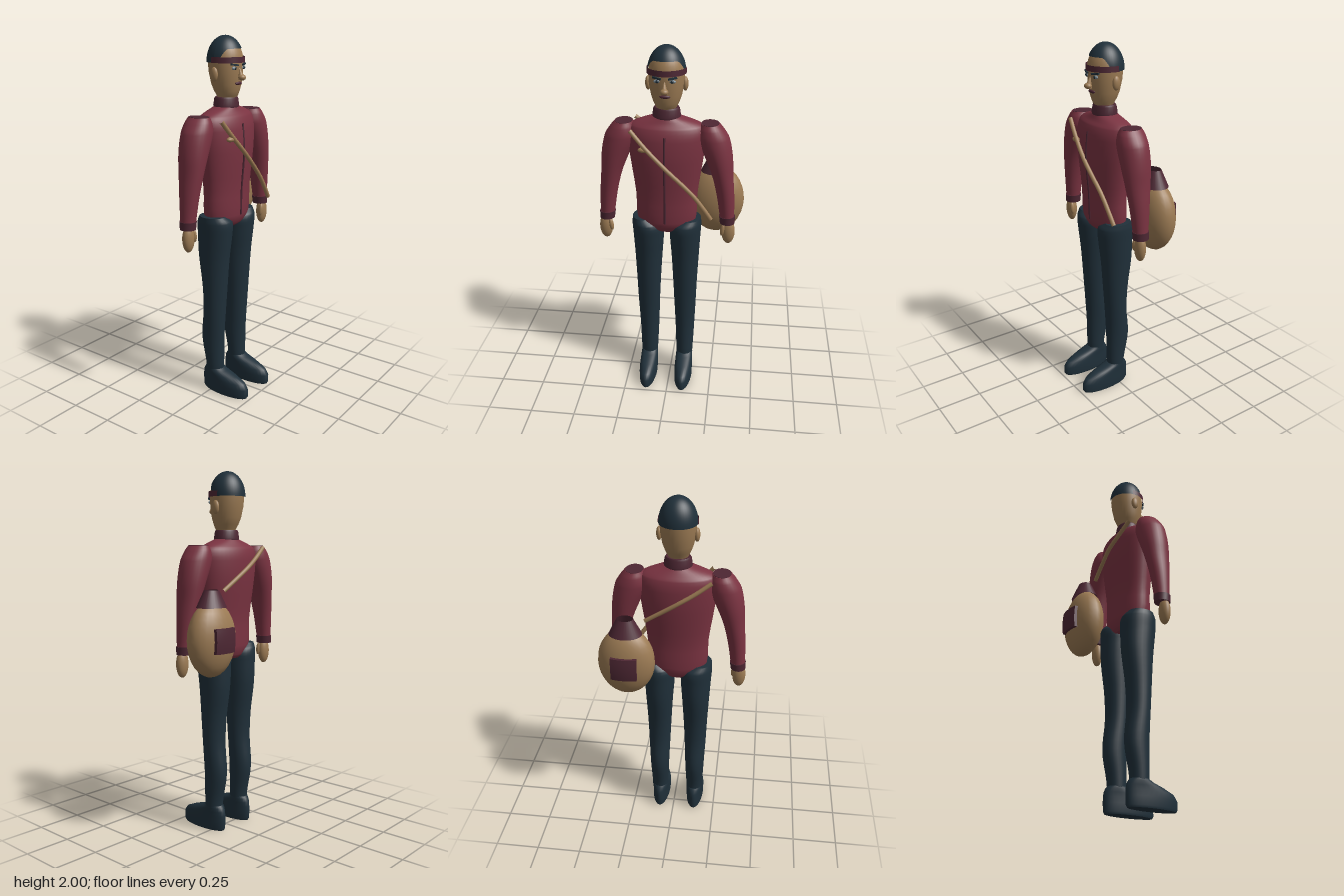
import * as THREE from 'three';

const mat = (name, color, side = THREE.FrontSide) => {
  const m = new THREE.MeshStandardMaterial({ color, side });
  m.name = name;
  return m;
};

// Stack of horizontal ellipses, bottom to top: [y, centreX, centreZ, halfX, halfZ]
function loft(rings, sides = 28) {
  const pos = [], idx = [];
  const addRing = ([y, cx, cz, hx, hz]) => {
    for (let j = 0; j < sides; j++) {
      const a = (j / sides) * Math.PI * 2;
      pos.push(cx + Math.cos(a) * hx, y, cz + Math.sin(a) * hz);
    }
  };
  rings.forEach(addRing);
  for (let i = 0; i < rings.length - 1; i++) {
    for (let j = 0; j < sides; j++) {
      const k = (j + 1) % sides, a = i * sides, b = a + sides;
      idx.push(a + j, b + j, a + k, a + k, b + j, b + k);
    }
  }
  // end caps with their own vertices, so the rims stay sharp
  [rings[0], rings[rings.length - 1]].forEach((r, top) => {
    const s = pos.length / 3;
    addRing(r);
    pos.push(r[1], r[0], r[2]);
    for (let j = 0; j < sides; j++) {
      const k = (j + 1) % sides;
      idx.push(s + sides, s + (top ? k : j), s + (top ? j : k));
    }
  });
  const g = new THREE.BufferGeometry();
  g.setAttribute('position', new THREE.Float32BufferAttribute(pos, 3));
  g.setIndex(idx);
  g.computeVertexNormals();
  return g;
}

// Smoothly adds rings between the given ones
function smoothRings(rings, steps = 4) {
  const out = [], n = rings.length;
  for (let i = 0; i < n - 1; i++) {
    const [p, a, b, q] = [rings[Math.max(i - 1, 0)], rings[i], rings[i + 1], rings[Math.min(i + 2, n - 1)]];
    for (let s = 0; s < steps; s++) {
      const t = s / steps, h = t * t * (3 - 2 * t);
      out.push(a.map((v, k) => {
        if (k === 0) return v + (b[0] - v) * t;
        const dy = b[0] - a[0];
        const ma = ((b[k] - p[k]) / (b[0] - p[0])) * dy, mb = ((q[k] - v) / (q[0] - a[0])) * dy;
        return v + (b[k] - v) * h + ma * t * (1 - t) * (1 - t) - mb * t * t * (1 - t);
      }));
    }
  }
  out.push(rings[n - 1]);
  return out;
}

export function createModel() {
  const jacket = mat('jacket red', 0x7a3341);
  const trim = mat('dark maroon', 0x4d2733, THREE.DoubleSide);
  const navy = mat('dark blue', 0x20303a);
  const skin = mat('tan', 0x9c7b54);
  const eyeGrey = mat('eye grey', 0x7d8b93);

  const model = new THREE.Group();
  const body = new THREE.Group();
  body.name = 'body';
  body.position.x = -0.02;
  model.add(body);
  const add = (name, geo, m, parent = body) => {
    const mesh = new THREE.Mesh(geo, m);
    mesh.name = name;
    parent.add(mesh);
    return mesh;
  };
  const ball = (name, m, [x, y, z], [rx, ry, rz], parent = body) => {
    const b = add(name, new THREE.SphereGeometry(1, 24, 16), m, parent);
    b.position.set(x, y, z);
    b.scale.set(rx, ry, rz);
    return b;
  };

  // Jacket
  add('torso', loft(smoothRings([
    [0.98, 0, 0.005, 0.08, 0.06], [1.0, 0, 0.01, 0.125, 0.08], [1.05, 0, 0.013, 0.162, 0.095],
    [1.2, 0, 0.015, 0.168, 0.097], [1.4, 0, 0.012, 0.195, 0.115], [1.52, 0, 0.008, 0.208, 0.114],
    [1.58, 0, 0.005, 0.2, 0.1], [1.605, 0, 0.005, 0.165, 0.08], [1.635, 0, 0.01, 0.075, 0.06],
  ], 3), 40), jacket);
  add('collar', loft([
    [1.63, 0, 0.01, 0.073, 0.064], [1.64, 0, 0.01, 0.075, 0.066],
    [1.675, 0, 0.01, 0.07, 0.06], [1.685, 0, 0.01, 0.064, 0.055],
  ]), trim);
  const seam = new THREE.CatmullRomCurve3([[1.05, 0.109], [1.2, 0.113], [1.4, 0.128], [1.55, 0.118]]
    .map(([y, z]) => new THREE.Vector3(0, y, z)));
  add('frontSeam', new THREE.TubeGeometry(seam, 20, 0.006, 6), trim);

  // Limbs, built on the left and mirrored to the right
  const ends = [
    [1.07, 0.333, 0.01, 0.04, 0.042], [1.2, 0.32, 0.01, 0.048, 0.055], [1.32, 0.3, 0.009, 0.058, 0.07],
    [1.42, 0.277, 0.007, 0.075, 0.08], [1.52, 0.246, 0.006, 0.086, 0.082], [1.57, 0.234, 0.005, 0.068, 0.074],
    [1.6, 0.228, 0.005, 0.049, 0.06],
  ];
  const legRings = [
    [0.12, 0.106, 0.01, 0.047, 0.05], [0.18, 0.106, 0.008, 0.05, 0.054], [0.33, 0.106, -0.004, 0.056, 0.068],
    [0.5, 0.106, 0.008, 0.063, 0.064], [0.65, 0.105, 0.01, 0.069, 0.072], [0.82, 0.104, 0.005, 0.078, 0.09],
    [0.95, 0.103, 0.01, 0.086, 0.1], [1.02, 0.107, 0.012, 0.086, 0.1], [1.055, 0.13, 0.012, 0.06, 0.075],
  ];
  const shoeRings = [
    [0, 0.106, 0.084, 0.047, 0.144], [0.012, 0.106, 0.084, 0.051, 0.152], [0.055, 0.106, 0.083, 0.052, 0.153],
    [0.085, 0.106, 0.073, 0.051, 0.142], [0.11, 0.106, 0.045, 0.05, 0.11], [0.13, 0.106, 0.017, 0.049, 0.072],
    [0.143, 0.106, 0.01, 0.047, 0.054],
  ];
  for (const s of [-1, 1]) {
    const side = s > 0 ? 'left' : 'right';
    const flip = (rings) => rings.map(([y, x, ...r]) => [y, x * s, ...r]);
    add(side + 'Sleeve', loft(smoothRings(flip(ends))), jacket);
    add(side + 'ShoulderTop', loft(flip([[1.597, 0.228, 0.005, 0.047, 0.058], [1.602, 0.228, 0.005, 0.047, 0.058]])), trim);
    add(side + 'Cuff', loft(flip([[1.03, 0.336, 0.01, 0.041, 0.043], [1.073, 0.333, 0.01, 0.044, 0.046]])), trim);
    ball(side + 'Hand', skin, [0.343 * s, 0.98, 0.018], [0.037, 0.074, 0.029]);
    const thumb = ball(side + 'Thumb', skin, [0.312 * s, 0.993, 0.032], [0.013, 0.036, 0.014]);
    thumb.rotation.z = -0.15 * s;
    add(side + 'Leg', loft(smoothRings(flip(legRings))), navy);
    add(side + 'Shoe', loft(flip(shoeRings), 32), navy);
    // Face pairs
    ball(side + 'Ear', skin, [0.096 * s, 1.805, 0.003], [0.015, 0.037, 0.022]);
    ball(side + 'Eye', eyeGrey, [0.039 * s, 1.836, 0.09], [0.018, 0.009, 0.009]);
    ball(side + 'Pupil', navy, [0.038 * s, 1.836, 0.096], [0.008, 0.008, 0.006]);
    const brow = add(side + 'Eyebrow', new THREE.BoxGeometry(0.045, 0.009, 0.012), navy);
    brow.position.set(0.04 * s, 1.853, 0.094);
    brow.rotation.set(0, 0.4 * s, 0.12 * s);
  }

  // Head
  const headRings = [
    [1.63, 0, 0.01, 0.05, 0.046], [1.675, 0, 0.012, 0.05, 0.046], [1.69, 0, 0.017, 0.056, 0.056],
    [1.715, 0, 0.014, 0.068, 0.068], [1.75, 0, 0.011, 0.08, 0.08], [1.81, 0, 0.008, 0.091, 0.09],
  ];
  for (let i = 0; i <= 8; i++) {
    const t = (i / 8) * 1.5;
    headRings.push([1.865 + 0.122 * Math.sin(t), 0, 0.006, 0.094 * Math.cos(t), 0.094 * Math.cos(t)]);
  }
  add('head', loft(headRings, 32), skin);
  const nose = add('nose', new THREE.ConeGeometry(0.019, 0.07, 12), skin);
  nose.position.set(0, 1.812, 0.102);
  nose.rotation.x = -0.25;
  ball('noseTip', skin, [0, 1.788, 0.112], [0.021, 0.016, 0.02]);
  ball('mouth', trim, [0, 1.757, 0.089], [0.028, 0.009, 0.01]);

  // Close-cropped hair, its edge raised over the forehead
  const hairGeo = new THREE.SphereGeometry(1, 40, 16, 0, Math.PI * 2, 0, Math.PI / 2);
  const p = hairGeo.attributes.position;
  for (let i = 0; i < p.count; i++) {
    const a = Math.atan2(p.getX(i), p.getZ(i));
    const front = THREE.MathUtils.smoothstep(Math.cos(a), 0.1, 0.75);
    const t = Math.acos(Math.min(1, p.getY(i))) * (1.02 - 0.35 * front);
    p.setXYZ(i, Math.sin(a) * Math.sin(t) * 0.099, Math.cos(t) * 0.133, Math.cos(a) * Math.sin(t) * 0.098);
  }
  hairGeo.computeVertexNormals();
  add('hair', hairGeo, navy).position.set(0, 1.867, 0.004);
  const band = add('headband', new THREE.CylinderGeometry(0.101, 0.102, 0.03, 32, 1, true, -1.75, 3.5), trim);
  band.position.set(0, 1.877, 0.006);

  // Shoulder strap, front and back, with its badge
  const strap = (name, pts) => add(name, new THREE.TubeGeometry(
    new THREE.CatmullRomCurve3(pts.map((v) => new THREE.Vector3(...v))), 32, 0.012, 8), skin, model);
  strap('frontStrap', [[-0.2, 1.58, 0.112], [-0.12, 1.49, 0.127], [-0.02, 1.39, 0.138], [0.13, 1.24, 0.13], [0.19, 1.16, 0.126], [0.23, 1.1, 0.122]]);
  strap('backStrap', [[-0.205, 1.59, -0.098], [-0.12, 1.53, -0.115], [-0.04, 1.48, -0.126], [0.05, 1.42, -0.12], [0.14, 1.36, -0.11]]);
  ball('badge', skin, [-0.13, 1.48, 0.12], [0.029, 0.014, 0.017], model);

  // Bag on the left hip
  const bag = new THREE.Group();
  bag.name = 'bag';
  bag.position.set(0.245, 1.115, -0.122);
  model.add(bag);
  ball('bagBody', skin, [0, 0, 0], [0.156, 0.2, 0.098], bag);
  const neck = add('bagNeck', new THREE.CylinderGeometry(0.044, 0.09, 0.09, 28, 1, true), trim, bag);
  neck.position.y = 0.212;
  neck.scale.z = 0.8;
  const patchGeo = new THREE.BoxGeometry(0.14, 0.13, 0.024, 8, 8, 1);
  const q = patchGeo.attributes.position;
  for (let i = 0; i < q.count; i++) {
    const bend = (q.getX(i) / 0.156) ** 2 + (q.getY(i) / 0.2) ** 2;
    q.setZ(i, q.getZ(i) + 0.045 * bend);
  }
  patchGeo.computeVertexNormals();
  add('bagPatch', patchGeo, trim, bag).position.z = -0.101;

  return model;
}
